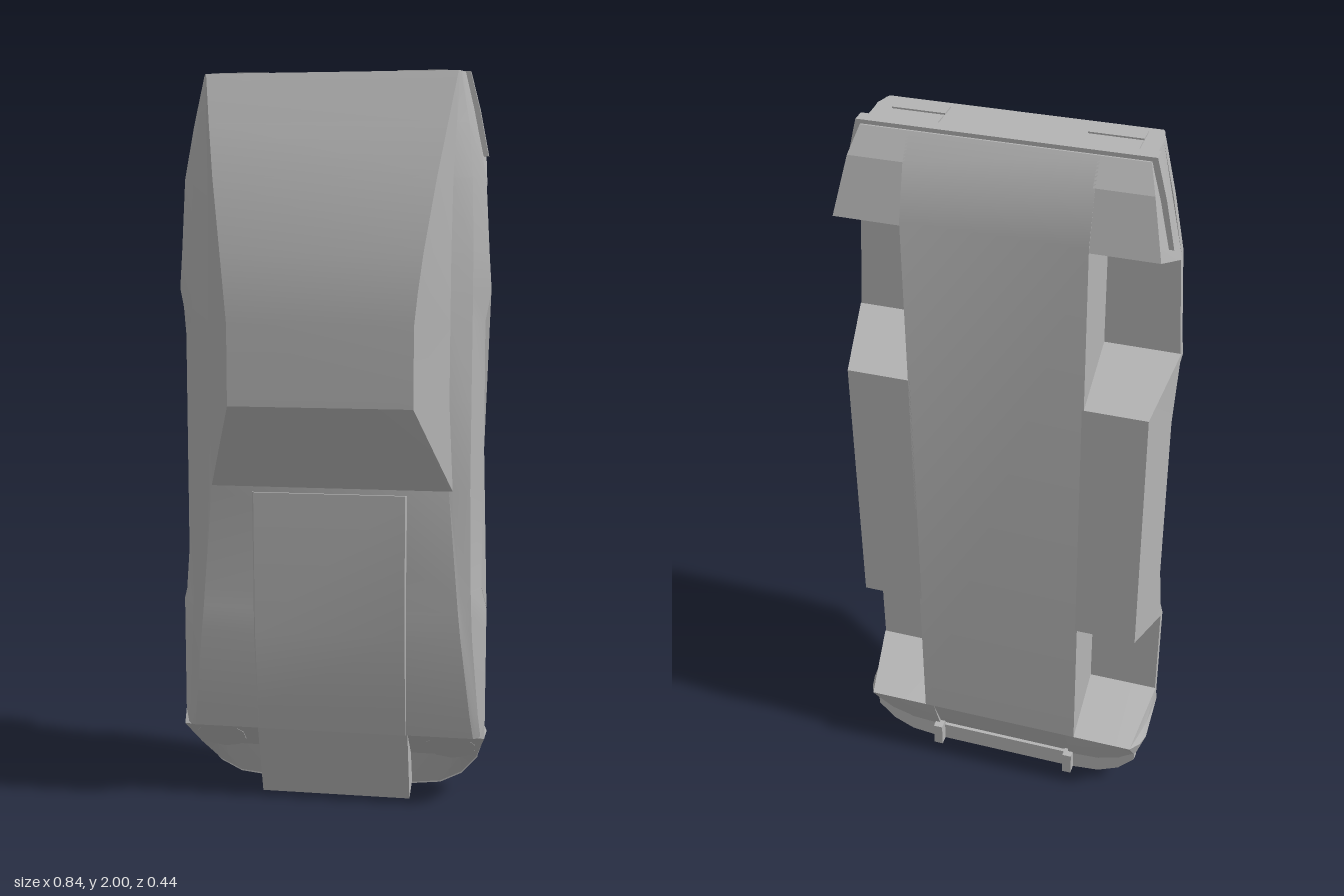
import * as THREE from 'three';
import { toCreasedNormals } from 'three/addons/utils/BufferGeometryUtils.js';

const paint = new THREE.MeshStandardMaterial({ color: 0xb4b4b4 });
paint.name = 'grey paint';

// Solid through equal-length rings of [x, y, z] points, capped at both ends and always facing outward
function loft(rings) {
  const tris = [];
  const n = rings[0].length;
  for (let i = 0; i < rings.length - 1; i++) {
    for (let j = 0; j < n; j++) {
      const k = (j + 1) % n;
      const a = rings[i][j], b = rings[i][k], c = rings[i + 1][k], d = rings[i + 1][j];
      tris.push([a, b, c], [a, c, d]);
    }
  }
  [rings[0], rings[rings.length - 1]].forEach((ring, end) => {
    const mid = [0, 1, 2].map(q => ring.reduce((s, p) => s + p[q], 0) / n);
    ring.forEach((p, j) => {
      const next = ring[(j + 1) % n];
      tris.push(end ? [mid, p, next] : [mid, next, p]);
    });
  });
  let volume = 0;
  const origin = rings[0][0];
  for (const t of tris) {
    const [a, b, c] = t.map(p => new THREE.Vector3(p[0] - origin[0], p[1] - origin[1], p[2] - origin[2]));
    volume += a.dot(b.cross(c));
  }
  if (volume < 0) tris.forEach(t => t.reverse());
  const geo = new THREE.BufferGeometry();
  geo.setAttribute('position', new THREE.Float32BufferAttribute(tris.flat(2), 3));
  geo.computeVertexNormals();
  return toCreasedNormals(geo, 0.3);
}

// Side profile of [y, z] points pulled across the width
const across = (profile, w) => loft([-w, w].map(x => profile.map(([y, z]) => [x, y, z])));

export function createModel() {
  const group = new THREE.Group();
  const add = (name, geo) => {
    const mesh = new THREE.Mesh(geo, paint);
    mesh.name = name;
    group.add(mesh);
    return mesh;
  };
  const box = (name, w, h, d, x, y, z) => add(name, new THREE.BoxGeometry(w, h, d)).position.set(x, y, z);
  const pair = (name, rings) => {
    add('left' + name, loft(rings));
    add('right' + name, loft(rings.map(r => r.map(([x, y, z]) => [-x, y, z]))));
  };

  // Upper body: y, belt x, shoulder x z, window base x z, roof edge x z
  const stations = [
    [0.21, 0.42, 0.41, 0.0, 0.4, 0.005, 0.39, 0.01],
    [0.28, 0.42, 0.402, 0.012, 0.39, 0.02, 0.38, 0.024],
    [0.5, 0.42, 0.385, 0.04, 0.363, 0.05, 0.355, 0.056],
    [0.57, 0.42, 0.382, 0.042, 0.358, 0.052, 0.348, 0.058],
    [0.63, 0.405, 0.38, 0.043, 0.353, 0.055, 0.343, 0.06],
    [0.905, 0.405, 0.375, 0.045, 0.33, 0.061, 0.32, 0.064],
    [1.14, 0.405, 0.375, 0.045, 0.32, 0.08, 0.24, 0.22],
    [1.35, 0.405, 0.375, 0.045, 0.32, 0.08, 0.24, 0.22],
    [1.43, 0.42, 0.375, 0.043, 0.32, 0.078, 0.248, 0.215],
    [1.53, 0.413, 0.374, 0.04, 0.32, 0.075, 0.26, 0.2],
    [1.72, 0.402, 0.37, 0.03, 0.322, 0.062, 0.288, 0.15],
    [1.86, 0.375, 0.358, 0.015, 0.328, 0.042, 0.31, 0.09],
    [1.99, 0.345, 0.34, 0.0, 0.335, 0.02, 0.33, 0.03],
  ];
  add('upperBody', loft(stations.map(([y, b, sx, sz, wx, wz, rx, rz]) => {
    const half = [[b - 0.002, -0.03], [b, -0.015], [sx, sz], [wx, wz], [rx, rz]];
    return [...half.map(([x, z]) => [x, y, z]), ...half.reverse().map(([x, z]) => [-x, y, z])];
  })));

  // Raised hood panel
  add('hoodPanel', loft([[0.21, 0.012], [0.28, 0.028], [0.5, 0.062], [0.89, 0.071]].map(([y, z]) =>
    [[-0.215, y, z - 0.015], [-0.205, y, z], [0.205, y, z], [0.215, y, z - 0.015]])));

  // Floor between the wheel wells, and the centre of the nose
  add('floor', across([[1.99, -0.03], [1.99, -0.14], [1.93, -0.18], [1.8, -0.22], [0.21, -0.22], [0.21, -0.03]], 0.225));
  add('nose', across([[0.21, 0.01], [0, -0.06], [0.025, -0.125], [0.1, -0.17], [0.21, -0.22]], 0.21));

  // Front corners with scooped headlight hollows: x and front edge y
  const fronts = [[0.2, 0.02], [0.29, 0.03], [0.35, 0.06], [0.395, 0.11], [0.42, 0.185]];
  pair('FrontCorner', fronts.map(([x, f]) => [
    [x, 0.28, -0.03], [Math.min(x, 0.39), 0.21, -0.22], [Math.min(x, 0.41), f * 0.6 + 0.08, -0.175],
    [x, f, -0.135], [x, Math.max(0.125, f + 0.008), -0.09], [x, 0.21, 0.004],
  ]));

  // Sills between the wells, and rear corners
  const sill = [[0.57, -0.03, 0.419], [0.63, -0.22, 0.385], [1.36, -0.22, 0.385],
    [1.44, -0.03, 0.419], [1.36, -0.03, 0.404], [0.63, -0.03, 0.404]];
  const rear = [[1.7, -0.03, 0.404], [1.79, -0.22, 0.39], [1.93, -0.18, 0.36], [1.99, -0.14, 0.34], [1.99, -0.03, 0.343]];
  for (const [name, points] of [['Sill', sill], ['RearCorner', rear]]) {
    pair(name, [points.map(([y, z]) => [0.22, y, z]), points.map(([y, z, x]) => [x, y, z])]);
  }

  // Rear bumper: cross bar and side strips
  box('rearBumper', 0.7, 0.015, 0.035, 0, 1.9925, -0.118);
  pair('RearBumperEnd', [[1.78, 0.402], [1.9, 0.378], [2, 0.352]].map(([y, x]) =>
    [[x, y, -0.135], [x, y, -0.1], [x - 0.03, y, -0.1], [x - 0.03, y, -0.135]]));

  // Front bumper strip and overriders
  const bar = [...fronts.slice(0, 4).reverse().map(([x, f]) => [-x, f]), ...fronts.slice(0, 4)];
  add('frontBumper', loft(bar.map(([x, f]) =>
    [[x, f - 0.006, -0.14], [x, f + 0.004, -0.168], [x, f + 0.06, -0.168], [x, f + 0.06, -0.14]])));

  for (const s of [-1, 1]) {
    box('overrider', 0.026, 0.07, 0.05, s * 0.2, 0.06, -0.17);
    // Headlight disc lying in the hollow
    const lamp = add('headlight', new THREE.CylinderGeometry(0.07, 0.07, 0.008, 10));
    lamp.position.set(s * 0.325, 0.168, -0.045);
    lamp.rotation.x = -Math.PI / 4 - Math.PI / 2 + Math.PI;
    lamp.rotation.x = Math.PI * 0.75;
    // Tail lights
    for (const z of [0.016, 0.07]) box('tailLight', 0.13, 0.008, 0.042, s * 0.235, 1.99, -z);
  }
  return group;
}
